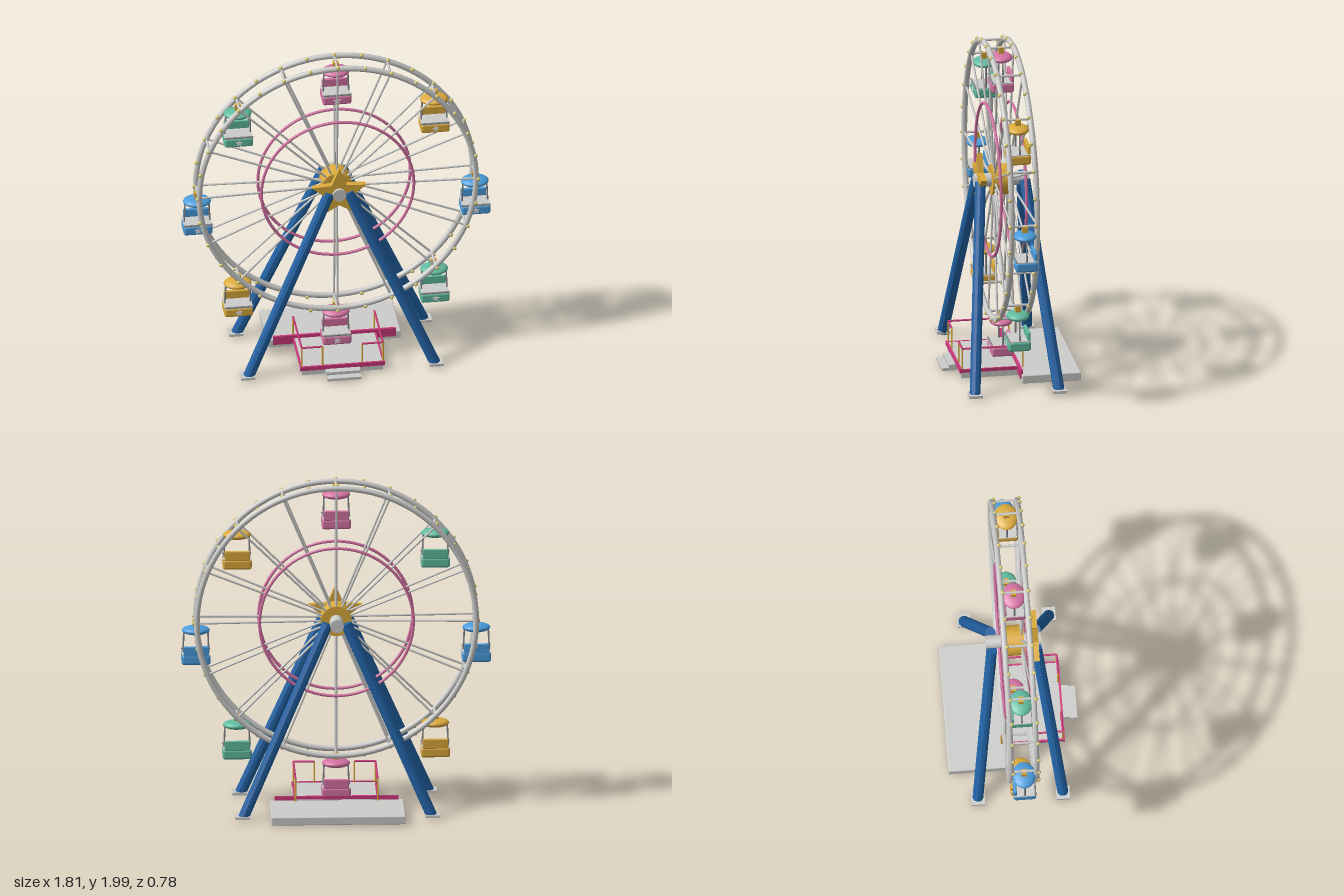
import * as THREE from 'three';
import { RoundedBoxGeometry } from 'three/addons/geometries/RoundedBoxGeometry.js';

const mat = (name, color) => Object.assign(new THREE.MeshStandardMaterial({ color }), { name });

export function createModel() {
  const M = {
    metal: mat('light grey metal', 0xcccccb),
    steel: mat('dark grey steel', 0x85888a),
    legBlue: mat('deep blue', 0x2263a6),
    blue: mat('sky blue', 0x4a9cdc),
    gold: mat('gold', 0xdcab3c),
    pink: mat('pink', 0xd673a4),
    green: mat('sea green', 0x60bb9e),
    magenta: mat('magenta', 0xcd397b),
    bulb: mat('bulb yellow', 0xd8cb76),
    white: mat('star white', 0xe8e8e8),
  };
  const model = new THREE.Group();
  model.name = 'ferrisWheel';

  const add = (parent, name, geo, material, x = 0, y = 0, z = 0) => {
    const m = new THREE.Mesh(geo, material);
    m.name = name;
    m.position.set(x, y, z);
    parent.add(m);
    return m;
  };
  const box = (parent, name, material, w, h, d, x, y, z) =>
    add(parent, name, new THREE.BoxGeometry(w, h, d), material, x, y, z);
  // Round bar between two points
  const bar = (parent, name, material, a, b, r, sides = 8) => {
    const p = new THREE.Vector3(...a), q = new THREE.Vector3(...b);
    const m = add(parent, name, new THREE.CylinderGeometry(r, r, p.distanceTo(q), sides), material);
    m.position.copy(p).add(q).multiplyScalar(0.5);
    m.quaternion.setFromUnitVectors(new THREE.Vector3(0, 1, 0), q.sub(p).normalize());
    return m;
  };
  const starGeometry = (outer, inner, depth) => {
    const s = new THREE.Shape();
    for (let i = 0; i < 10; i++) {
      const a = Math.PI / 2 + i * Math.PI / 5, r = i % 2 ? inner : outer;
      s[i ? 'lineTo' : 'moveTo'](r * Math.cos(a), r * Math.sin(a));
    }
    s.closePath();
    return new THREE.ExtrudeGeometry(s, { depth, bevelEnabled: false });
  };

  // Wheel
  const wheel = new THREE.Group();
  wheel.name = 'wheel';
  wheel.position.set(0, 1.158, 0.02);
  model.add(wheel);
  const R = 0.817, HALF = 0.075;
  const rimGeo = new THREE.TorusGeometry(R, 0.017, 10, 96);
  const ringGeo = new THREE.TorusGeometry(0.45, 0.009, 8, 72);
  const bulbGeo = new THREE.SphereGeometry(0.012, 10, 8);
  for (const z of [HALF, -HALF]) {
    add(wheel, 'rim', rimGeo, M.metal, 0, 0, z);
    add(wheel, 'innerRing', ringGeo, M.pink, 0, 0, z);
    for (let i = 0; i < 16; i++) {
      const a = i * Math.PI / 8, c = Math.cos(a), s = Math.sin(a);
      bar(wheel, 'spoke', M.metal, [0.08 * c, 0.08 * s, z * 0.6], [R * c, R * s, z], 0.0065);
    }
    for (let i = 0; i < 32; i++) {
      const a = i * Math.PI / 16;
      add(wheel, 'bulb', bulbGeo, M.bulb, 0.829 * Math.cos(a), 0.829 * Math.sin(a), z + 0.012);
    }
  }
  for (let i = 0; i < 16; i++) {
    const a = i * Math.PI / 8, x = R * Math.cos(a), y = R * Math.sin(a);
    bar(wheel, 'crossBar', M.metal, [x, y, -HALF], [x, y, HALF], 0.008);
  }

  // Hub, axle and front star
  bar(wheel, 'hub', M.gold, [0, 0, -0.06], [0, 0, 0.06], 0.09, 32);
  bar(wheel, 'axle', M.metal, [0, 0, -0.165], [0, 0, 0.16], 0.04, 24);
  add(wheel, 'hubStar', starGeometry(0.168, 0.075, 0.035), M.gold, 0, 0, 0.108);

  // Gondolas hang upright from the rim
  const roofGeo = new THREE.SphereGeometry(1, 28, 14).scale(0.082, 0.026, 0.068);
  const tubGeo = new RoundedBoxGeometry(0.17, 0.06, 0.132, 3, 0.014);
  const backGeo = new RoundedBoxGeometry(0.15, 0.06, 0.018, 2, 0.006);
  const smallStar = starGeometry(0.024, 0.01, 0.004);
  const paints = [M.blue, M.gold, M.pink, M.green];
  for (let i = 0; i < 8; i++) {
    const a = i * Math.PI / 4, paint = paints[i % 4];
    const g = new THREE.Group();
    g.name = 'gondola';
    g.position.set(0.82 * Math.cos(a), 0.82 * Math.sin(a), 0);
    wheel.add(g);
    box(g, 'hanger', M.gold, 0.035, 0.045, 0.03, 0, -0.022, 0);
    add(g, 'roof', roofGeo, paint, 0, -0.061, 0);
    add(g, 'tub', tubGeo, paint, 0, -0.228, 0);
    box(g, 'seatDeck', M.metal, 0.166, 0.006, 0.128, 0, -0.198, 0);
    add(g, 'seatBack', backGeo, paint, 0, -0.175, -0.056);
    bar(g, 'lapRail', M.steel, [-0.085, -0.192, 0.062], [0.085, -0.192, 0.062], 0.005);
    add(g, 'frontStar', smallStar, M.white, 0, -0.228, 0.0645);
    for (const s of [-1, 1])
      bar(g, 'post', M.steel, [s * 0.076, -0.2, 0], [s * 0.07, -0.066, 0], 0.005);
  }

  // Support legs with foot plates
  for (const s of [-1, 1]) {
    for (const [top, foot] of [[0.15, 0.268], [-0.112, -0.23]]) {
      const leg = bar(model, 'supportLeg', M.legBlue, [s * 0.055, 1.165, top], [s * 0.55, 0.025, foot], 0.033, 10);
      leg.geometry = leg.geometry.toNonIndexed();
      leg.geometry.computeVertexNormals();
      box(model, 'footPlate', M.metal, 0.084, 0.016, 0.08, s * 0.556, 0.028, foot);
    }
  }

  // Boarding platform: wide rear deck, narrow front deck, steps
  add(model, 'rearDeck', new RoundedBoxGeometry(0.785, 0.05, 0.35, 2, 0.006), M.metal, 0, 0.045, -0.215);
  box(model, 'frontDeck', M.metal, 0.48, 0.054, 0.35, 0, 0.047, 0.12);
  box(model, 'upperStep', M.metal, 0.2, 0.035, 0.05, 0, 0.0385, 0.32);
  box(model, 'lowerStep', M.metal, 0.2, 0.017, 0.05, 0, 0.0285, 0.362);
  box(model, 'backPanel', M.magenta, 0.725, 0.055, 0.014, 0, 0.066, -0.042);
  box(model, 'frontTrim', M.magenta, 0.5, 0.026, 0.012, 0, 0.066, 0.298);

  // Railings
  for (const s of [-1, 1]) {
    const x = s * 0.24, inner = s * 0.117, zf = 0.29, zb = -0.068, h = 0.203;
    for (const [px, pz] of [[x, zf], [inner, zf], [x, zb]])
      bar(model, 'railPost', M.gold, [px, 0.05, pz], [px, h, pz], 0.005);
    bar(model, 'frontRail', M.magenta, [x, h, zf], [inner, h, zf], 0.006);
    bar(model, 'sideRail', M.magenta, [x, h, zb], [x, h, zf], 0.006);
    box(model, 'sideTrim', M.magenta, 0.01, 0.02, 0.35, s * 0.241, 0.066, 0.12);
  }
  return model;
}
